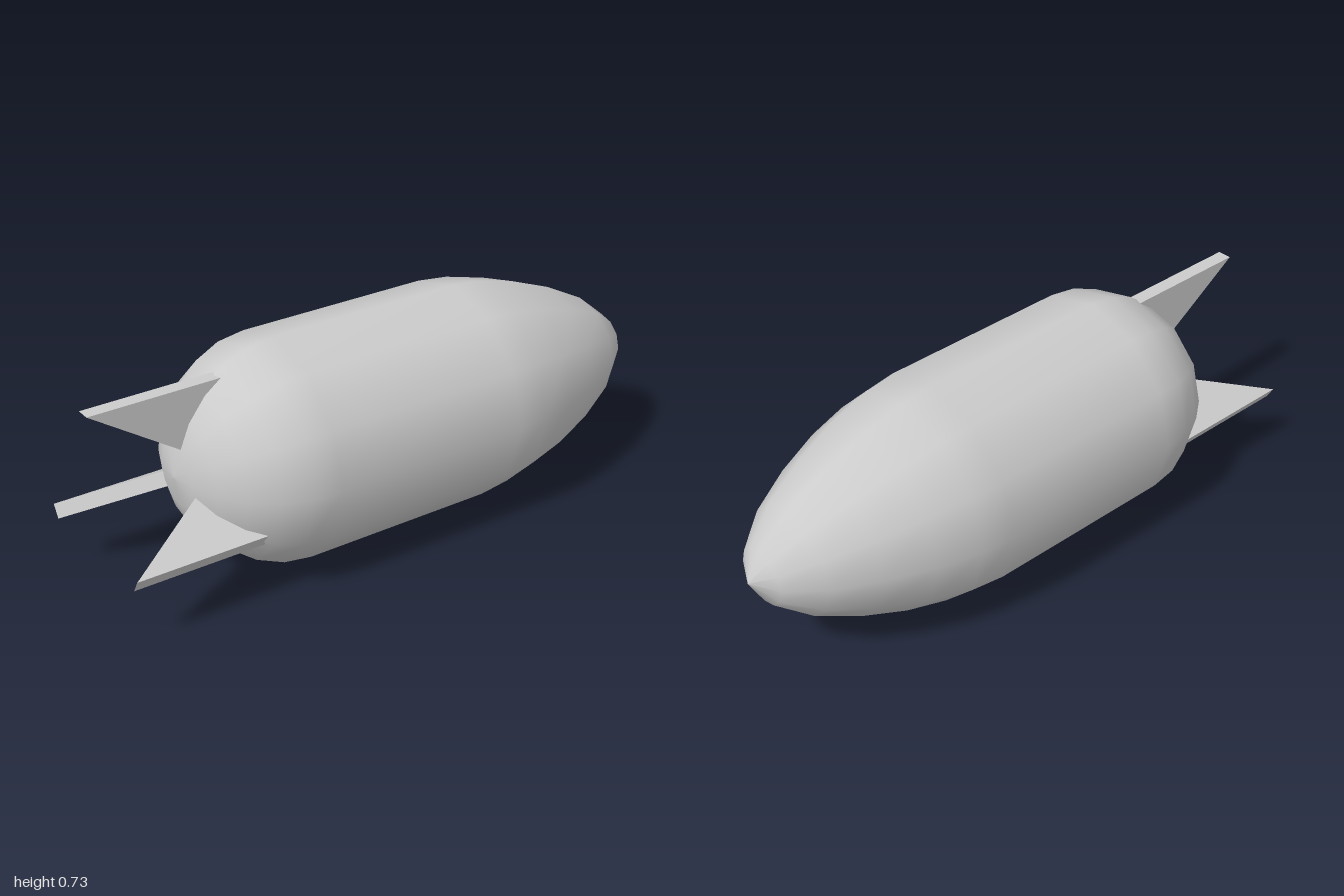
import * as THREE from 'three';

const RADIUS = 0.363, AXIS_Y = 0.366;

export function createModel() {
  const group = new THREE.Group();
  const material = new THREE.MeshStandardMaterial({ color: 0xcccccc });

  // Body: twelve-sided lathe, pointed nose to the back, round tail to the front
  const noseZ = [-1, -0.95, -0.845, -0.7, -0.55, -0.41, -0.3];
  const step = Math.PI / 12;
  const profile = noseZ.map((z, i) => new THREE.Vector2(RADIUS * Math.sin(i * step), z));
  for (let i = 0; i <= 6; i++) {
    const r = i === 6 ? 0 : RADIUS * Math.cos(i * step);
    profile.push(new THREE.Vector2(r, 0.365 + RADIUS * Math.sin(i * step)));
  }
  const body = new THREE.Mesh(new THREE.LatheGeometry(profile, 12).rotateX(Math.PI / 2), material);
  body.name = 'body';
  body.position.y = AXIS_Y;
  group.add(body);

  // Fins: triangular plates swept past the tail, spaced evenly round the axis
  const thickness = 0.047;
  const outline = new THREE.Shape([
    new THREE.Vector2(0.56, -0.003),
    new THREE.Vector2(1, 0.293),
    new THREE.Vector2(0.56, 0.293),
  ]);
  const finGeometry = new THREE.ExtrudeGeometry(outline, { depth: thickness, bevelEnabled: false })
    .translate(0, 0, -thickness / 2)
    .rotateY(-Math.PI / 2);
  ['topFin', 'lowerRightFin', 'lowerLeftFin'].forEach((name, i) => {
    const fin = new THREE.Mesh(finGeometry, material);
    fin.name = name;
    fin.position.y = AXIS_Y;
    fin.rotation.z = (i * 2 * Math.PI) / 3;
    group.add(fin);
  });

  return group;
}
